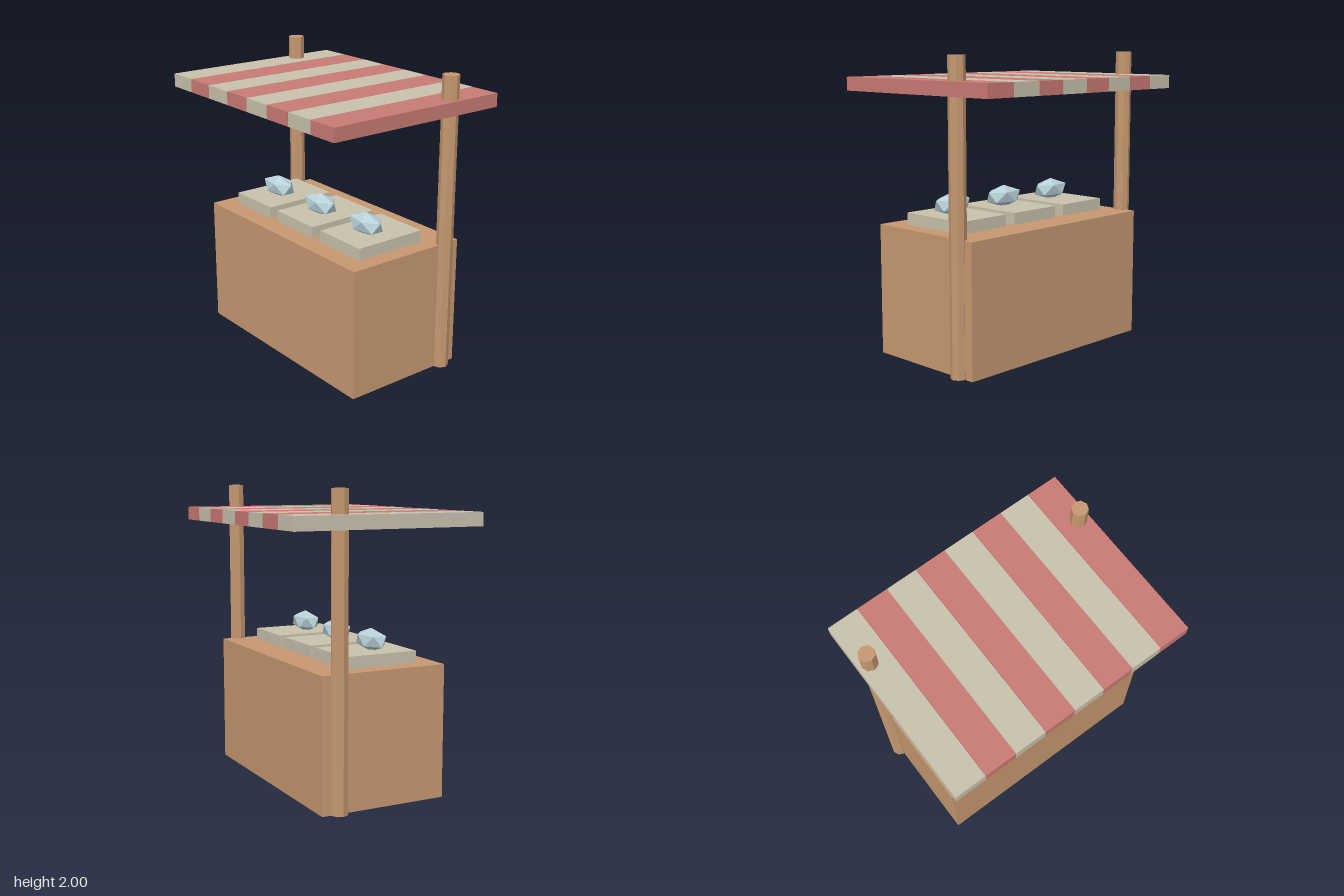
import * as THREE from 'three';

const mat = (name, color) => {
  const m = new THREE.MeshStandardMaterial({ color });
  m.name = name;
  m.flatShading = true;
  return m;
};

export function createModel() {
  const wood = mat('wood', 0xc69870);
  const cream = mat('cream', 0xc9c1ad);
  const red = mat('red', 0xc97a74);
  const ice = mat('paleBlue', 0xb8d0d8);

  const stall = new THREE.Group();
  stall.name = 'marketStall';
  const add = (name, geometry, material, x, y, z) => {
    const mesh = new THREE.Mesh(geometry, material);
    mesh.name = name;
    mesh.position.set(x, y, z);
    stall.add(mesh);
  };

  // Solid counter
  add('counter', new THREE.BoxGeometry(1.595, 0.88, 0.875), wood, 0, 0.44, 0);

  // Eight-sided posts that pass through the canopy
  const post = new THREE.CylinderGeometry(0.055, 0.055, 2, 8);
  add('leftPost', post, wood, 0.8, 1, -0.32);
  add('rightPost', post, wood, -0.8, 1, -0.32);

  // Canopy of alternating stripes with thin gaps
  const stripe = new THREE.BoxGeometry(0.2165, 0.09, 1.32);
  for (let i = 0; i < 8; i++) {
    add('canopyStripe' + (i + 1), stripe, i % 2 ? red : cream, (i - 3.5) * 0.2195, 1.8, 0);
  }

  // Faceted goods: a stretched icosahedron with one corner straight up
  const lump = new THREE.IcosahedronGeometry(1, 0);
  lump.rotateX(-Math.atan((1 + Math.sqrt(5)) / 2));
  lump.rotateY(Math.PI / 2);
  lump.scale(0.158, 0.077, 0.088);
  lump.computeVertexNormals();

  // Trays with one lump on each
  const tray = new THREE.BoxGeometry(0.4, 0.08, 0.52);
  for (let i = -1; i <= 1; i++) {
    add('tray' + (i + 2), tray, cream, i * 0.48, 0.92, 0.04);
    add('goods' + (i + 2), lump, ice, i * 0.48, 1.02, 0.08);
  }

  return stall;
}
